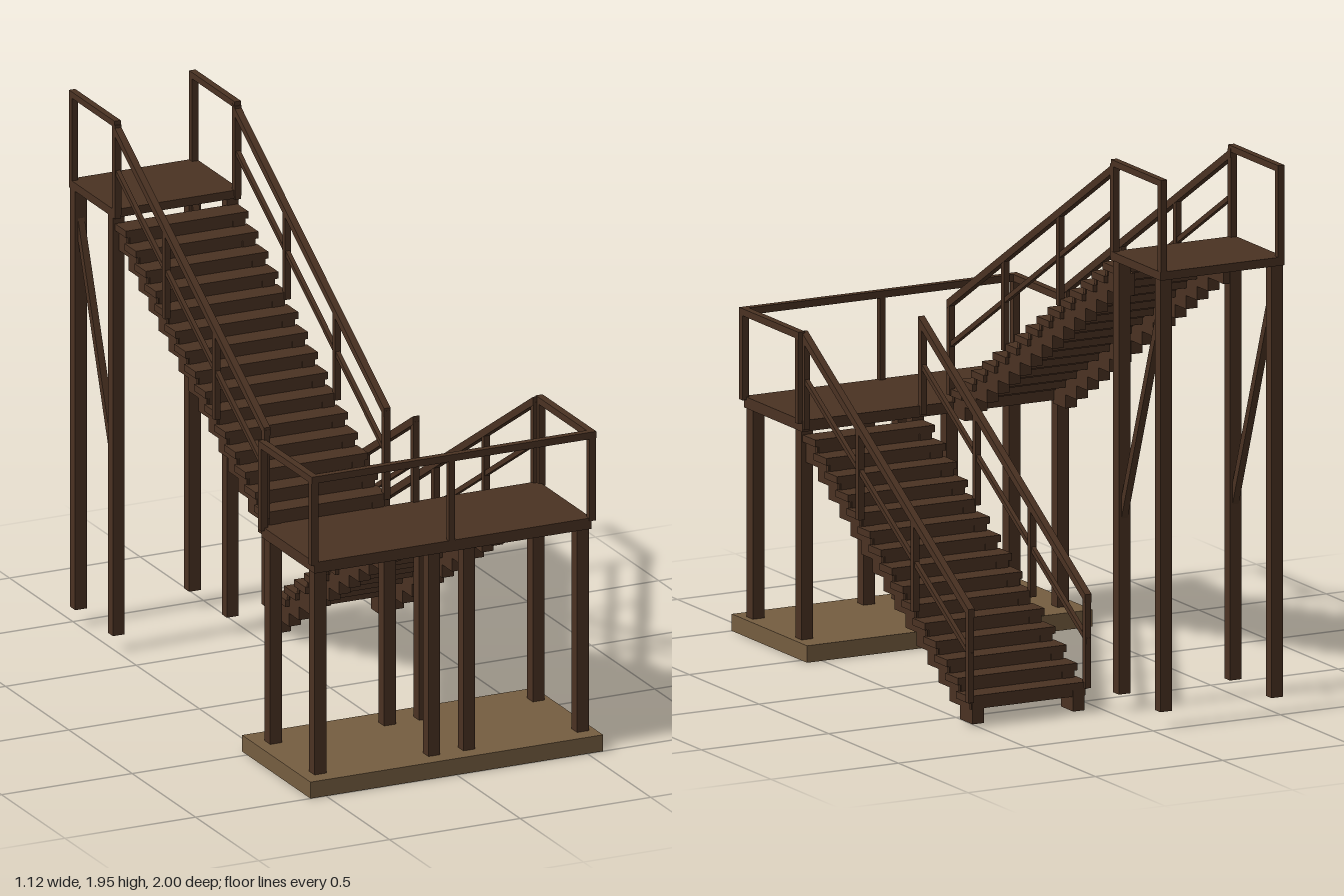
import * as THREE from 'three';

export function createModel() {
  const root = new THREE.Group();
  root.name = 'staircase';
  const wood = new THREE.MeshStandardMaterial({ color: 0x4a3222 });
  wood.name = 'dark wood';
  const base = new THREE.MeshStandardMaterial({ color: 0x755d40 });
  base.name = 'tan slab';

  const group = (name) => {
    const g = new THREE.Group();
    g.name = name;
    root.add(g);
    return g;
  };
  // box given by its limits on each axis
  const box = (parent, name, x0, x1, y0, y1, z0, z1, mat = wood) => {
    const m = new THREE.Mesh(new THREE.BoxGeometry(x1 - x0, y1 - y0, z1 - z0), mat);
    m.position.set((x0 + x1) / 2, (y0 + y1) / 2, (z0 + z1) / 2);
    m.name = name;
    parent.add(m);
    return m;
  };
  // sloping bar in a plane of constant x, from (y0, z0) to (y1, z1), with plumb-cut ends
  const slopeBar = (parent, name, x, w, t, y0, z0, y1, z1) => {
    const geo = new THREE.BoxGeometry(w, t, 1);
    const p = geo.attributes.position;
    for (let i = 0; i < p.count; i++) {
      const k = p.getZ(i) + 0.5;
      p.setY(i, p.getY(i) + y0 + (y1 - y0) * k);
      p.setZ(i, z0 + (z1 - z0) * k);
    }
    // z1 must exceed z0 so the faces keep pointing outward
    geo.computeVertexNormals();
    const flat = geo.toNonIndexed();
    flat.computeVertexNormals();
    const m = new THREE.Mesh(flat, wood);
    m.position.x = x;
    m.name = name;
    parent.add(m);
  };

  // foundation and middle landing
  box(root, 'foundationSlab', -0.56, 0.56, 0, 0.06, 0.46, 1, base);
  box(root, 'middleDeck', -0.52, 0.54, 0.8, 0.84, 0.53, 0.95);
  const legs = group('middleLegs');
  for (const x of [-0.4925, -0.0565, 0.0775, 0.5125])
    for (const z of [0.917, 0.567])
      box(legs, 'middleLeg', x - 0.0225, x + 0.0225, 0.06, 0.8, z - 0.0225, z + 0.0225);

  // railing around the front and sides of the middle landing
  const guard = group('middleRailing');
  for (const x of [-0.52, 0.543]) {
    box(guard, 'sideRail', x - 0.013, x + 0.013, 1.13, 1.155, 0.53, 0.955);
    for (const z of [0.942, 0.543])
      box(guard, 'railPost', x - 0.013, x + 0.013, 0.83, 1.13, z - 0.012, z + 0.012);
  }
  box(guard, 'frontRail', -0.533, 0.556, 1.13, 1.155, 0.93, 0.955);
  box(guard, 'centrePost', -0.006, 0.016, 0.83, 1.13, 0.93, 0.952);

  // upper landing with legs, braces and side railings
  box(root, 'upperDeck', -0.515, -0.03, 1.59, 1.62, -1, -0.645);
  const support = group('upperSupports');
  for (const x of [-0.4925, -0.0565]) {
    for (const z of [-0.672, -0.97])
      box(support, 'upperLeg', x - 0.0225, x + 0.0225, 0.06, 1.59, z - 0.02, z + 0.02);
    slopeBar(support, 'brace', x, 0.025, 0.075, 1.48, -0.96, 0.7, -0.685);
  }
  const upperGuard = group('upperRailing');
  for (const x of [-0.503, -0.043]) {
    box(upperGuard, 'sideRail', x - 0.012, x + 0.012, 1.922, 1.945, -1, -0.64);
    for (const z of [-0.648, -0.988])
      box(upperGuard, 'railPost', x - 0.012, x + 0.012, 1.6, 1.93, z - 0.012, z + 0.012);
  }

  // flight of fifteen steps; dir is the z direction of climbing
  const N = 15, RUN = 1.18 / N, RISE = 0.0484;
  const flight = (name, x0, x1, zStart, dir, yStart) => {
    const g = group(name);
    const span = (part, a, b, y0, y1, za, zb) =>
      box(g, part, a, b, y0, y1, Math.min(za, zb), Math.max(za, zb));
    for (let i = 0; i < N; i++) {
      const top = yStart + i * RISE;
      const z = zStart + dir * RUN * i;
      const end = z + dir * RUN;
      span('tread', x0, x1, top - 0.025, top, z, end + dir * 0.012);
      span('riser', x0 + 0.01, x1 - 0.01, top - RISE, top - 0.02, z + dir * 0.004, z + dir * 0.018);
      const back = end + dir * (i === N - 1 ? 0.045 : 0.01);
      for (const x of [x0 + 0.015, x1 - 0.06])
        span('stringerBlock', x, x + 0.045, top - 0.1, top - 0.02, z, back);
    }
  };
  flight('lowerSteps', 0.062, 0.532, -0.65, 1, 0.109);
  flight('upperSteps', -0.507, -0.038, 0.535, -1, 0.888);

  // sloping handrails, middle bars and posts; heights are at z = -0.66 and z = 0.54
  const handrails = (name, xs, yBack, yFront) => {
    const g = group(name);
    const at = (z) => yBack + (yFront - yBack) * (z + 0.66) / 1.2;
    for (const x of xs) {
      slopeBar(g, 'handrail', x, 0.025, 0.03, yBack, -0.66, yFront, 0.54);
      slopeBar(g, 'middleBar', x, 0.016, 0.02, yBack - 0.15, -0.66, yFront - 0.15, 0.54);
      for (const z of [0.53, 0.14, -0.255, -0.648])
        box(g, 'railPost', x - 0.011, x + 0.011, at(z) - 0.325, at(z), z - 0.011, z + 0.011);
    }
  };
  handrails('lowerHandrails', [0.068, 0.527], 0.405, 1.14);
  handrails('upperHandrails', [-0.503, -0.043], 1.92, 1.185);

  return root;
}
